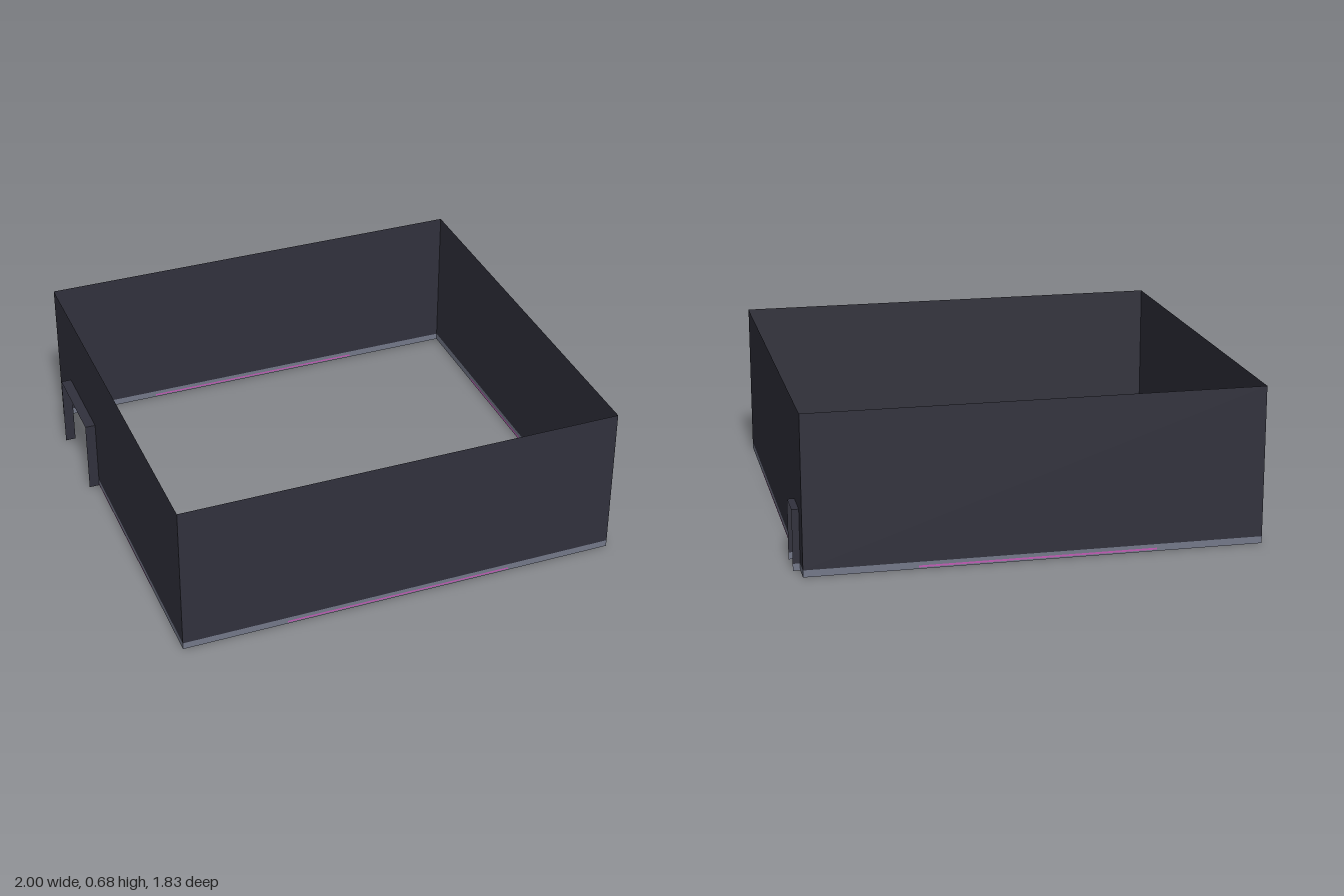
import * as THREE from 'three';

export function createModel() {
  const room = new THREE.Group();
  room.name = 'room';

  const mat = (name, color) => {
    const m = new THREE.MeshStandardMaterial({ color, side: THREE.DoubleSide });
    m.name = name;
    return m;
  };
  const wallMat = mat('charcoal wall', 0x31313c);
  const baseMat = mat('grey skirting', 0x737889);
  const glowMat = mat('pink strip', 0xc05cb4);

  const X0 = -0.955, X1 = 0.97, Z = 0.915, H = 0.68, BASE = 0.03;

  const add = (name, geo, material) => {
    const mesh = new THREE.Mesh(geo, material);
    mesh.name = name;
    room.add(mesh);
  };
  // upright sheet facing +-z
  const sheetZ = (name, x0, x1, y0, y1, z, material) => {
    const g = new THREE.PlaneGeometry(x1 - x0, y1 - y0);
    if (z < 0) g.rotateY(Math.PI);
    g.translate((x0 + x1) / 2, (y0 + y1) / 2, z);
    add(name, g, material);
  };
  // upright sheet facing +-x
  const sheetX = (name, z0, z1, y0, y1, x, material) => {
    const g = new THREE.PlaneGeometry(z1 - z0, y1 - y0);
    g.rotateY(Math.sign(x) * Math.PI / 2);
    g.translate(x, (y0 + y1) / 2, (z0 + z1) / 2);
    add(name, g, material);
  };

  // front and back walls with skirting
  for (const [side, z] of [['front', Z], ['back', -Z]]) {
    sheetZ(side + 'Wall', X0, X1, BASE, H, z, wallMat);
    sheetZ(side + 'Skirting', X0, X1, 0, BASE, z, baseMat);
    for (const o of [-0.002, 0.002])
      sheetZ(side + 'Strip', -0.5, 0.5, 0.007, 0.015, z + o, glowMat);
  }

  // unbroken side wall
  sheetX('leftWall', -Z, Z, BASE, H, X1, wallMat);
  sheetX('leftSkirting', -Z, Z, 0, BASE, X1, baseMat);

  // side wall with the open doorway
  const D0 = -0.71, D1 = -0.31, DH = 0.325;
  sheetX('rightWallBack', -Z, D0, BASE, H, X0, wallMat);
  sheetX('rightWallFront', D1, Z, BASE, H, X0, wallMat);
  sheetX('rightWallLintel', D0, D1, DH, H, X0, wallMat);
  sheetX('rightSkirtingBack', -Z, D0, 0, BASE, X0, baseMat);
  sheetX('rightSkirtingFront', D1, Z, 0, BASE, X0, baseMat);

  // pink strips along both side walls
  for (const [side, x, z0] of [['left', X1, -0.5], ['right', X0, D1]])
    for (const o of [-0.002, 0.002])
      sheetX(side + 'Strip', z0, 0.5, 0.007, 0.015, x + o, glowMat);

  // open frame standing out from a wall: two jambs and a head
  const frame = (name, x0, x1, z0, z1, h, skirt) => {
    for (const z of [z0, z1]) {
      sheetZ(name + 'Jamb', x0, x1, skirt, h, z, wallMat);
      if (skirt) sheetZ(name + 'JambSkirting', x0, x1, 0, skirt, z, baseMat);
    }
    const top = new THREE.PlaneGeometry(x1 - x0, z1 - z0);
    top.rotateX(-Math.PI / 2);
    top.translate((x0 + x1) / 2, h, (z0 + z1) / 2);
    add(name + 'Head', top, wallMat);
  };
  frame('doorway', -1, X0, D0, D1, DH, 0);
  frame('smallDoor', X1, 1, -0.83, -0.69, 0.26, BASE);

  return room;
}
